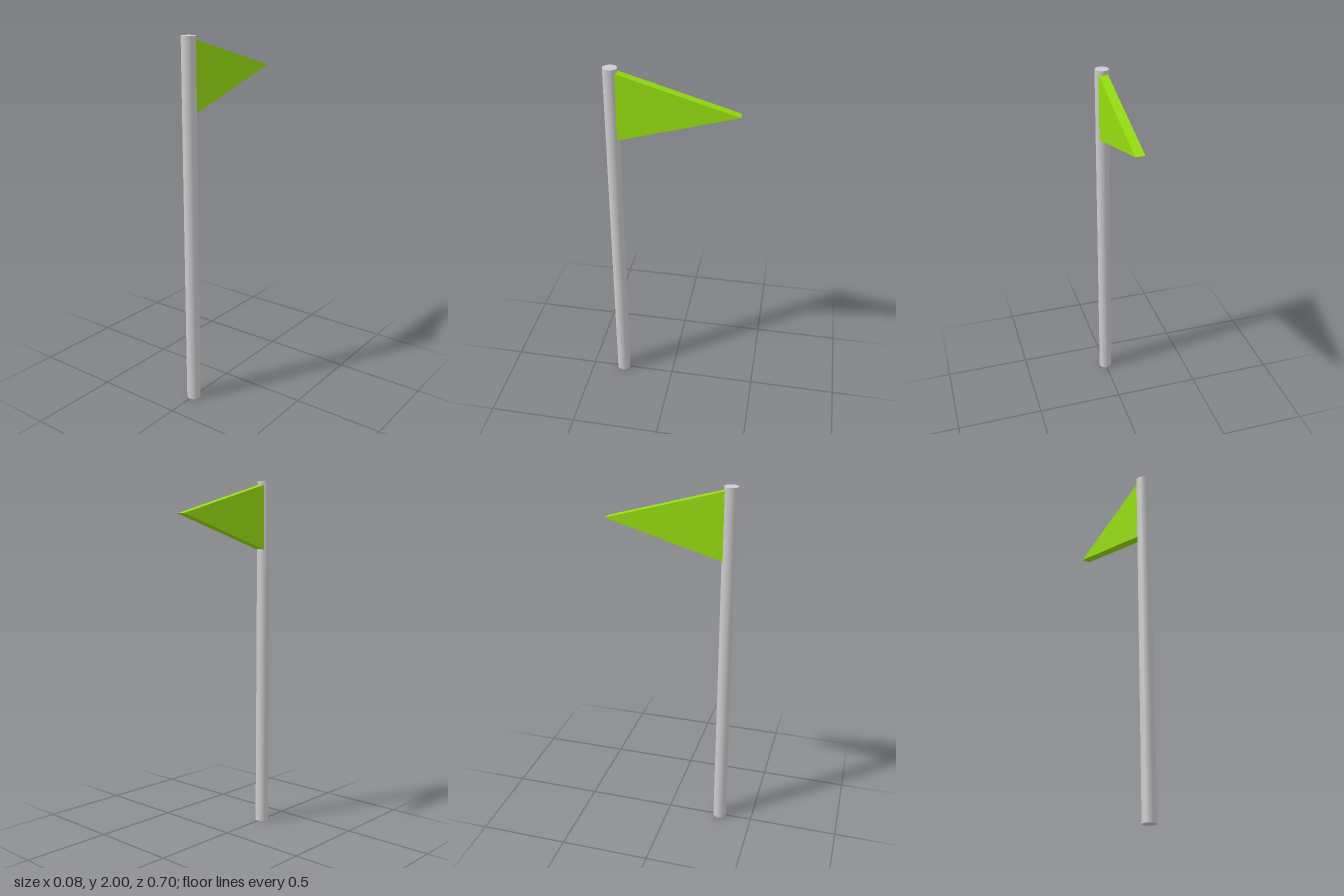
import * as THREE from 'three';

const POLE_Z = 0.31;
const POLE_RADIUS = 0.0375;
const POLE_HEIGHT = 2;
const FLAG_THICKNESS = 0.05;

export function createModel() {
  const model = new THREE.Group();
  model.name = 'pennantFlag';

  // Round upright pole, smooth sides with flat caps
  const pole = new THREE.Mesh(
    new THREE.CylinderGeometry(POLE_RADIUS, POLE_RADIUS, POLE_HEIGHT, 48),
    new THREE.MeshStandardMaterial({ color: 0xcccccc })
  );
  pole.name = 'pole';
  pole.position.set(0, POLE_HEIGHT / 2, POLE_Z);
  model.add(pole);

  // Triangular pennant, its wide edge sunk into the pole, pointing to the back
  const outline = new THREE.Shape([
    new THREE.Vector2(-0.287, 1.615),
    new THREE.Vector2(0.348, 1.798),
    new THREE.Vector2(-0.287, 1.98),
  ]);
  const flagGeometry = new THREE.ExtrudeGeometry(outline, { depth: FLAG_THICKNESS, bevelEnabled: false });
  flagGeometry.translate(0, 0, -FLAG_THICKNESS / 2);
  flagGeometry.rotateY(Math.PI / 2);
  const flag = new THREE.Mesh(flagGeometry, new THREE.MeshStandardMaterial({ color: 0x96dc10 }));
  flag.name = 'flag';
  model.add(flag);

  return model;
}
